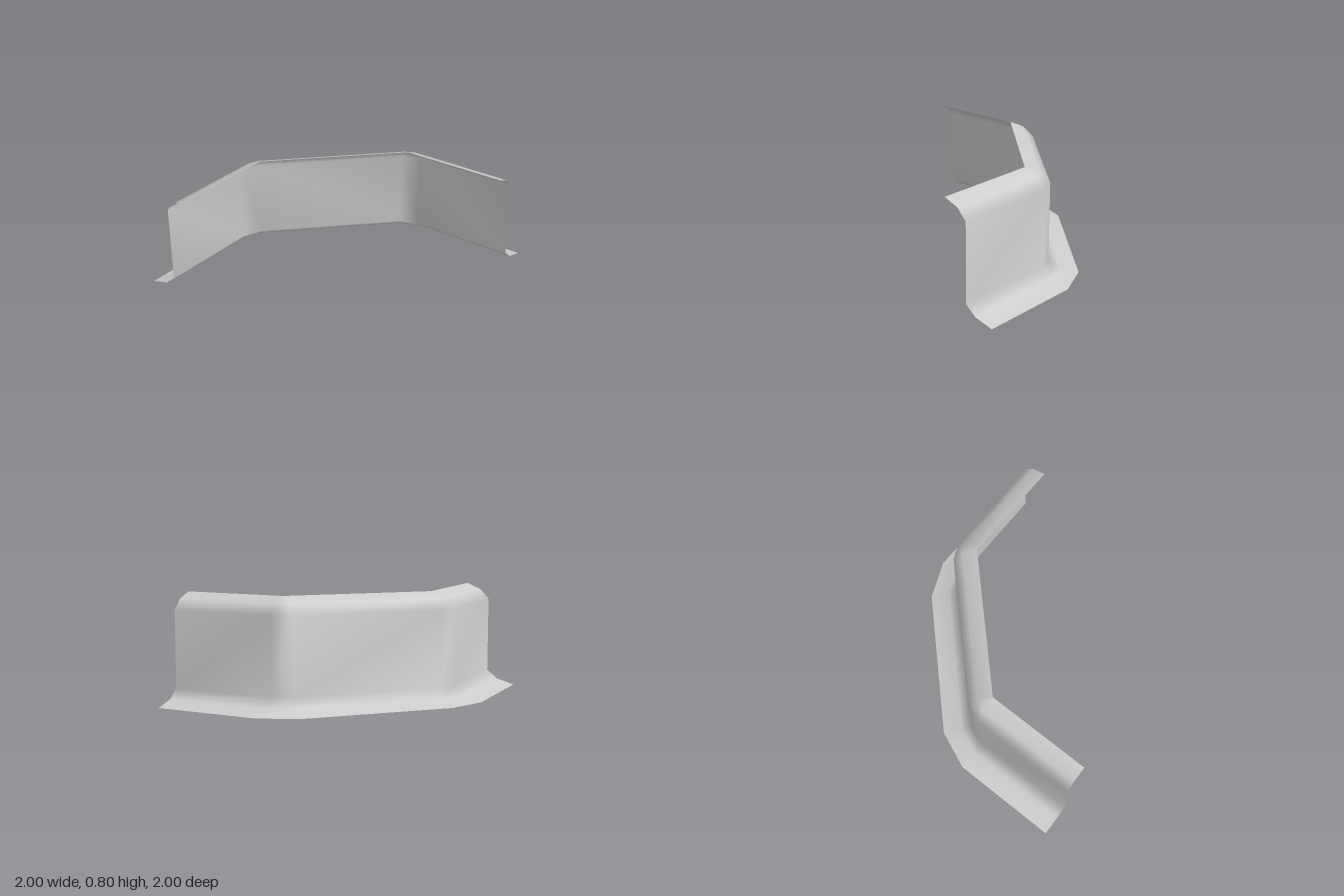
import * as THREE from 'three';

export function createModel() {
  const group = new THREE.Group();
  group.name = 'curbCorner';
  const grey = new THREE.MeshStandardMaterial({ color: 0xcccccc, side: THREE.DoubleSide });
  grey.name = 'light grey';

  // Cross-section: outward distance from the upper lip, height
  const profile = [[0, 0.8], [0.11, 0.755], [0.18, 0.68], [0.18, 0.105], [0.26, 0.04], [0.4, 0]];
  // Stations along the upper lip: x, z, outward direction in degrees from -z towards +x
  const stations = [
    [-1, -0.6, 0], [-0.2, -0.6, 0], [-0.2, -0.6, 45],
    [0.6, 0.2, 45], [0.6, 0.2, 90], [0.6, 1, 90],
  ];

  const positions = [];
  const indices = [];
  const n = profile.length;
  stations.forEach(([x, z, degrees], i) => {
    const a = THREE.MathUtils.degToRad(degrees);
    profile.forEach(([d, y], j) => {
      positions.push(x + d * Math.sin(a), y, z - d * Math.cos(a));
      if (i === 0 || j === 0) return;
      const p = (i - 1) * n + j - 1, q = p + n;
      // The lip meets at a point on each corner, so its first strip is a triangle there
      const pinched = j === 1 && stations[i - 1][0] === x && stations[i - 1][1] === z;
      if (!pinched) indices.push(p, q, q + 1);
      indices.push(p, q + 1, p + 1);
    });
  });

  const geometry = new THREE.BufferGeometry();
  geometry.setAttribute('position', new THREE.Float32BufferAttribute(positions, 3));
  geometry.setIndex(indices);
  geometry.computeVertexNormals();

  const sheet = new THREE.Mesh(geometry, grey);
  sheet.name = 'bentFlangedWall';
  group.add(sheet);
  return group;
}
